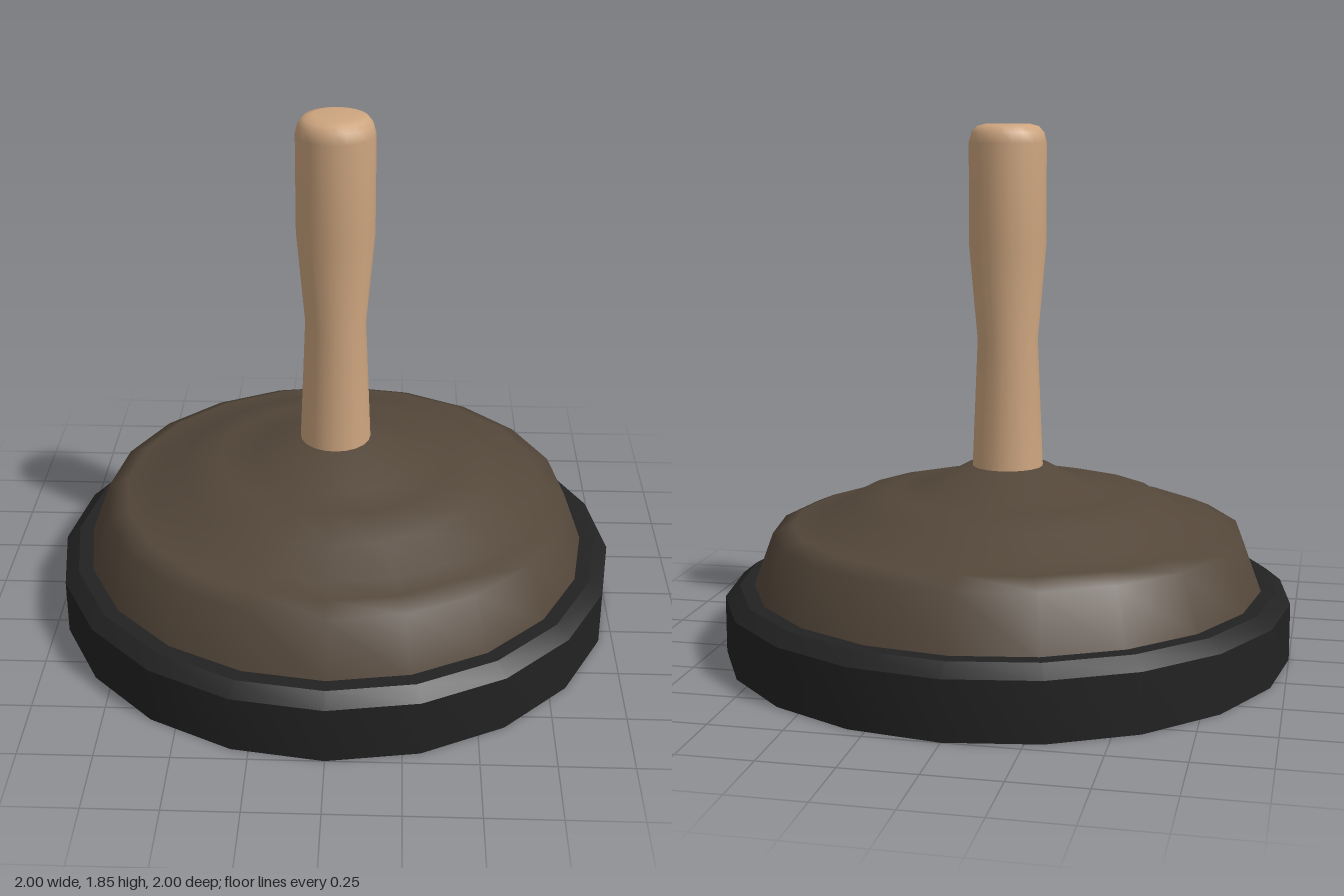
import * as THREE from 'three';
import { toCreasedNormals } from 'three/addons/utils/BufferGeometryUtils.js';

const SIDES = 20;

// Turned part from a bottom-to-top [radius, height] profile
function turned(name, profile, color, creaseAngle) {
  const points = profile.map(([r, y]) => new THREE.Vector2(r, y));
  let geometry = new THREE.LatheGeometry(points, SIDES);
  if (creaseAngle) geometry = toCreasedNormals(geometry, creaseAngle);
  const mesh = new THREE.Mesh(geometry, new THREE.MeshStandardMaterial({ color }));
  mesh.name = name;
  return mesh;
}

export function createModel() {
  const group = new THREE.Group();
  group.name = 'plunger';

  // Heavy rim with a bevelled top edge and closed underside
  group.add(turned('baseRim', [
    [0, 0], [1, 0], [1, 0.2], [0.95, 0.24], [0.88, 0.24], [0, 0.24],
  ], 0x222222, 0.5));

  // Stepped rubber dome rising to the handle collar
  group.add(turned('dome', [
    [0.9, 0.235], [0.83, 0.425], [0.76, 0.455], [0.66, 0.465], [0.55, 0.535],
    [0.415, 0.568], [0.285, 0.58], [0.15, 0.652], [0, 0.655],
  ], 0x54473a));

  // Waisted wooden handle with a rounded end
  group.add(turned('handle', [
    [0.127, 0.6], [0.125, 0.65], [0.106, 1.1], [0.135, 1.43], [0.135, 1.78],
    [0.126, 1.815], [0.108, 1.836], [0.075, 1.845], [0, 1.845],
  ], 0xcda57f));

  return group;
}
